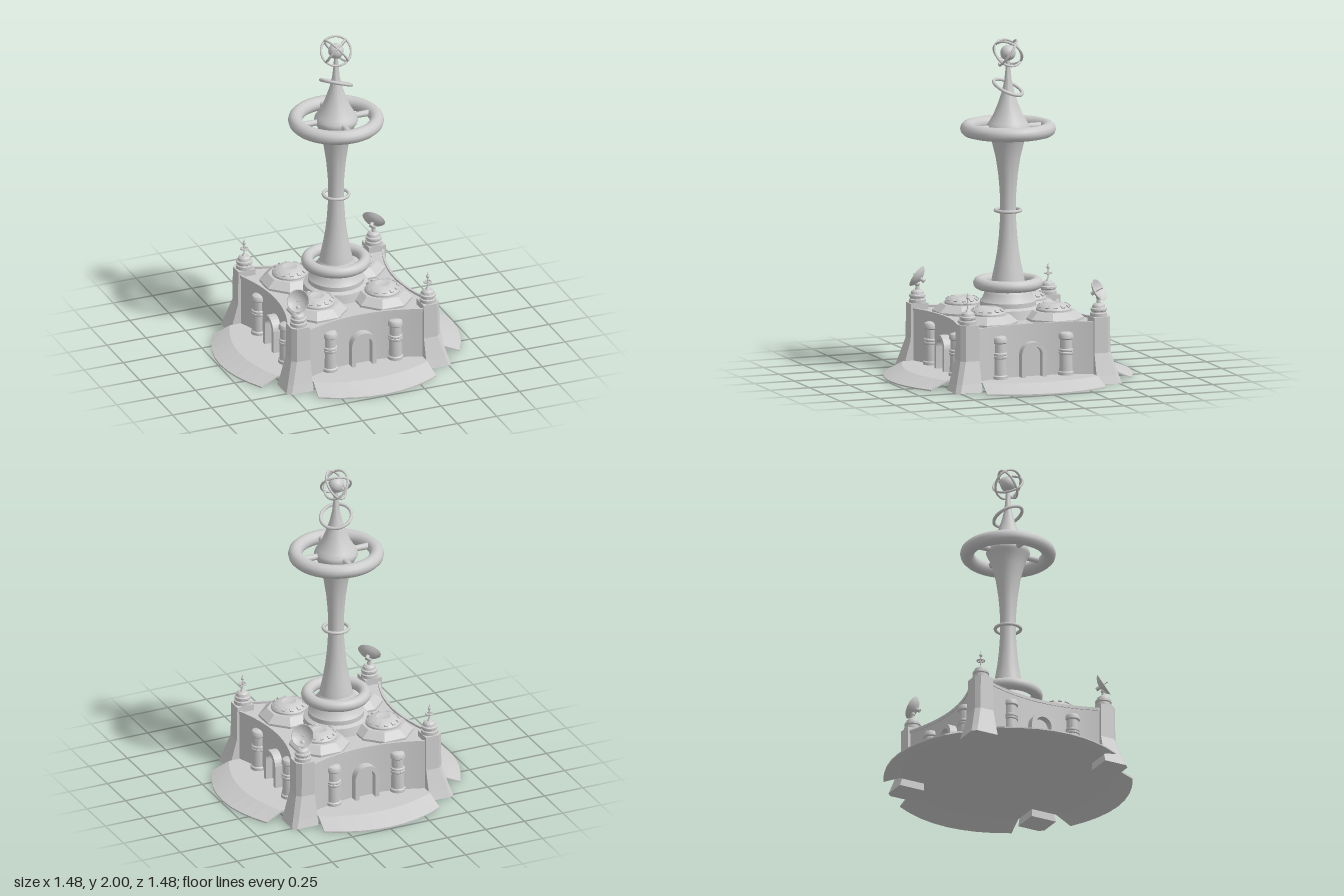
import * as THREE from 'three';
import { toCreasedNormals } from 'three/addons/utils/BufferGeometryUtils.js';

const grey = new THREE.MeshStandardMaterial({ color: 0xcccccc });
const UP = new THREE.Vector3(0, 1, 0);

function add(parent, name, geometry, x = 0, y = 0, z = 0) {
  const mesh = new THREE.Mesh(geometry, grey);
  mesh.name = name;
  mesh.position.set(x, y, z);
  parent.add(mesh);
  return mesh;
}

// Turned part from [radius, height] pairs, with sharp edges kept
function lathe(profile, segments = 32, crease = 0.6) {
  const points = profile.map(([r, y]) => new THREE.Vector2(r, y));
  return toCreasedNormals(new THREE.LatheGeometry(points, segments), crease);
}

// Horizontal ring
function ring(R, tube, sides = 8) {
  return new THREE.TorusGeometry(R, tube, sides, 48).rotateX(Math.PI / 2);
}

// Flat-faced skin through a row of equal closed loops, capped at both ends
function loft(loops) {
  const pos = [];
  const tri = (...pts) => pts.forEach(p => pos.push(...p));
  const n = loops[0].length;
  for (let i = 0; i < loops.length - 1; i++) {
    for (let j = 0; j < n; j++) {
      const k = (j + 1) % n, a = loops[i], b = loops[i + 1];
      tri(a[j], a[k], b[k]);
      tri(a[j], b[k], b[j]);
    }
  }
  const first = loops[0], last = loops[loops.length - 1];
  for (let k = 1; k < n - 1; k++) {
    tri(first[0], first[k + 1], first[k]);
    tri(last[0], last[k], last[k + 1]);
  }
  const g = new THREE.BufferGeometry();
  g.setAttribute('position', new THREE.Float32BufferAttribute(pos, 3));
  g.computeVertexNormals();
  return g;
}

// Square plan with four inward-curving sides
function planShape(offset, Type = THREE.Shape) {
  const s = new Type(), c = 0.37, e = 0.458 + offset, m = 0.302 + offset;
  s.moveTo(-c, -e);
  s.quadraticCurveTo(0, -m, c, -e);
  s.lineTo(e, -c);
  s.quadraticCurveTo(m, 0, e, c);
  s.lineTo(c, e);
  s.quadraticCurveTo(0, m, -c, e);
  s.lineTo(-e, c);
  s.quadraticCurveTo(-m, 0, -e, -c);
  s.closePath();
  return s;
}

function extrude(shape, depth) {
  return toCreasedNormals(new THREE.ExtrudeGeometry(shape, { depth, bevelEnabled: false, curveSegments: 16 }), 0.5);
}

function arch(w, spring, Type = THREE.Shape) {
  const s = new Type();
  s.moveTo(-w, 0.05);
  s.lineTo(w, 0.05);
  s.lineTo(w, spring);
  s.absarc(0, spring, w, 0, Math.PI, false);
  s.closePath();
  return s;
}

// One front: apron slab with a drooping outer edge, doorway and two pillars
function buildSide() {
  const side = new THREE.Group();
  side.name = 'side';
  const sections = [];
  for (let i = 0; i <= 8; i++) {
    const t = i / 4 - 1, xi = 0.362 * t, xo = 0.375 * t;
    const zi = 0.615 - 0.09 * t * t, zo = 0.74 - 0.11 * t * t;
    sections.push([[xi, 0.045, zi], [xi, 0.045, 0.3], [xi, 0.055, 0.3], [xi, 0.055, zi], [xo, 0.008, zo], [xo, 0, zo]]);
  }
  add(side, 'apron', loft(sections));

  const frame = arch(0.078, 0.185);
  frame.holes.push(arch(0.052, 0.185, THREE.Path));
  add(side, 'doorFrame', extrude(frame, 0.07), 0, 0, 0.362);
  add(side, 'door', extrude(arch(0.054, 0.185), 0.025), 0, 0, 0.362);

  const pillar = lathe([[0, 0.05], [0.047, 0.05], [0.047, 0.072], [0.04, 0.078], [0.038, 0.175], [0.043, 0.18],
    [0.043, 0.19], [0.039, 0.193], [0.043, 0.197], [0.043, 0.207], [0.036, 0.212], [0.036, 0.265], [0.044, 0.272],
    [0.044, 0.29], [0.038, 0.302], [0.022, 0.309], [0, 0.311]], 20);
  for (const x of [-0.208, 0.208]) add(side, 'pillar', pillar, x, 0, 0.405);
  return side;
}

// Corner buttress with a chamfered edge, flared foot and round pedestal
function buildCorner() {
  const corner = new THREE.Group();
  corner.name = 'corner';
  const a = 0.362, c = 0.025;
  add(corner, 'buttress', loft([[0, 0.525], [0.05, 0.509], [0.18, 0.473], [0.392, 0.47]].map(([y, b]) =>
    [[a, y, b], [b - c, y, b], [b, y, b - c], [b, y, a], [a, y, a]])));
  add(corner, 'pedestal', lathe([[0.05, 0.39], [0.05, 0.412], [0.043, 0.416], [0.043, 0.422], [0.048, 0.427],
    [0.048, 0.438], [0.04, 0.443], [0.036, 0.458], [0.024, 0.468], [0, 0.47]], 24), 0.412, 0, 0.412);
  return corner;
}

function buildDish() {
  const dish = new THREE.Group();
  dish.name = 'dishAntenna';
  add(dish, 'dishPost', new THREE.CylinderGeometry(0.01, 0.014, 0.05, 10), 0, 0.48, 0);
  add(dish, 'dishJoint', new THREE.SphereGeometry(0.016, 12, 8), 0, 0.502, 0);
  const head = new THREE.Group();
  head.name = 'dishHead';
  add(head, 'bowl', lathe([[0, -0.02], [0.03, -0.015], [0.054, -0.004], [0.07, 0.012], [0.066, 0.013],
    [0.05, 0.001], [0.028, -0.01], [0, -0.014]], 28));
  add(head, 'feedRod', new THREE.CylinderGeometry(0.002, 0.004, 0.05, 8), 0, 0.01, 0);
  add(head, 'feedTip', new THREE.SphereGeometry(0.005, 10, 8), 0, 0.034, 0);
  add(head, 'dishMount', new THREE.CylinderGeometry(0.012, 0.012, 0.03, 10), 0, -0.028, 0);
  head.position.set(-0.005, 0.542, -0.005);
  head.quaternion.setFromUnitVectors(UP, new THREE.Vector3(0.61, 0.5, 0.61).normalize());
  dish.add(head);
  return dish;
}

function buildFinial() {
  const finial = new THREE.Group();
  finial.name = 'finial';
  add(finial, 'spike', lathe([[0.02, 0.46], [0.012, 0.475], [0.005, 0.485], [0.004, 0.56], [0, 0.58]], 12));
  add(finial, 'finialBall', new THREE.SphereGeometry(0.01, 12, 8), 0, 0.55, 0);
  add(finial, 'finialRing', ring(0.022, 0.004), 0, 0.515, 0);
  for (const r of [0, Math.PI / 2]) {
    add(finial, 'crossBar', new THREE.BoxGeometry(0.044, 0.005, 0.005), 0, 0.515, 0).rotation.y = r;
  }
  return finial;
}

// Roof dome on an octagonal plinth, circled by small windows
function buildDome() {
  const dome = new THREE.Group();
  dome.name = 'roofDome';
  const k = 1 / Math.cos(Math.PI / 8);
  const octagon = (top, bottom, h) =>
    toCreasedNormals(new THREE.CylinderGeometry(top * k, bottom * k, h, 8).rotateY(Math.PI / 8), 0.3);
  add(dome, 'plinth', octagon(0.12, 0.165, 0.04), 0, 0.388, 0);
  add(dome, 'plinthFoot', octagon(0.165, 0.165, 0.02), 0, 0.358, 0);
  add(dome, 'domeShell', lathe([[0.105, 0.4], [0.105, 0.418], [0.098, 0.428], [0.083, 0.44], [0.062, 0.449],
    [0.042, 0.453], [0.036, 0.45], [0, 0.452]]));
  for (let i = 0; i < 12; i++) {
    const a = (i + 0.5) * Math.PI / 6;
    const win = add(dome, 'domeWindow', new THREE.BoxGeometry(0.022, 0.014, 0.02), 0.089 * Math.sin(a), 0.434, 0.089 * Math.cos(a));
    win.rotation.set(0.6, a, 0, 'YXZ');
  }
  return dome;
}

function buildSpire() {
  const spire = new THREE.Group();
  spire.name = 'spire';
  add(spire, 'spireBase', lathe([[0.2, 0.35], [0.19, 0.408], [0.166, 0.42], [0.166, 0.447], [0.152, 0.462],
    [0.14, 0.49], [0.13, 0.512], [0.115, 0.53], [0.1, 0.56]], 40));
  // Slender shaft flaring to a rim inside the upper ring, with a bell above
  const shaft = [[0.1, 0.55], [0.093, 0.59], [0.078, 0.66], [0.064, 0.74], [0.054, 0.83], [0.048, 0.92], [0.046, 1],
    [0.049, 1.1], [0.058, 1.2], [0.073, 1.3], [0.093, 1.38], [0.112, 1.435], [0.125, 1.457], [0.13, 1.472],
    [0.126, 1.488], [0.112, 1.51], [0.088, 1.55], [0.063, 1.61], [0.039, 1.68], [0.023, 1.75], [0.015, 1.82], [0.011, 1.89]];
  add(spire, 'shaft', lathe(shaft, 40, 1));
  add(spire, 'lowerRing', ring(0.17, 0.035, 16), 0, 0.55, 0);
  add(spire, 'waistRing', ring(0.075, 0.01), 0, 0.982, 0);
  add(spire, 'upperRing', ring(0.24, 0.042, 12), 0, 1.469, 0);
  for (let i = 0; i < 4; i++) {
    const a = i * Math.PI / 2;
    const spoke = add(spire, 'spoke', new THREE.CylinderGeometry(0.02, 0.018, 0.1, 12).rotateX(Math.PI / 2),
      0.165 * Math.sin(a), 1.475, 0.165 * Math.cos(a));
    spoke.rotation.y = a;
  }
  const tilted = add(spire, 'tiltedRing', ring(0.092, 0.01), 0, 1.714, 0);
  tilted.quaternion.setFromUnitVectors(UP, new THREE.Vector3(0.35, 1, -0.35).normalize());

  // Ball inside three crossing hoops
  add(spire, 'ball', new THREE.SphereGeometry(0.046, 24, 16), 0, 1.92, 0);
  for (const deg of [225, 345, 105]) {
    const a = deg * Math.PI / 180;
    const hoop = add(spire, 'hoop', ring(0.089, 0.007), 0, 1.92, 0);
    hoop.quaternion.setFromUnitVectors(UP, new THREE.Vector3(0.816 * Math.cos(a), 0.577, 0.816 * Math.sin(a)).normalize());
  }
  return spire;
}

export function createModel() {
  const model = new THREE.Group();
  model.name = 'spireStation';

  // Main hall and its roof lip
  add(model, 'hall', extrude(planShape(0), 0.31).rotateX(-Math.PI / 2), 0, 0.045, 0);
  const lip = planShape(0.005);
  lip.holes.push(planShape(-0.01, THREE.Path));
  add(model, 'roofLip', extrude(lip, 0.018).rotateX(-Math.PI / 2), 0, 0.35, 0);

  // Everything that repeats around the four sides
  for (let i = 0; i < 4; i++) {
    const side = buildSide(), corner = buildCorner(), dome = buildDome();
    const topper = i % 2 ? buildDish() : buildFinial();
    topper.position.set(0.412, 0, 0.412);
    corner.add(topper);
    dome.position.set(i < 2 ? 0.208 : -0.208, 0, i % 2 ? 0.208 : -0.208);
    side.rotation.y = corner.rotation.y = i * Math.PI / 2;
    model.add(side, corner, dome);
  }
  model.add(buildSpire());
  return model;
}
